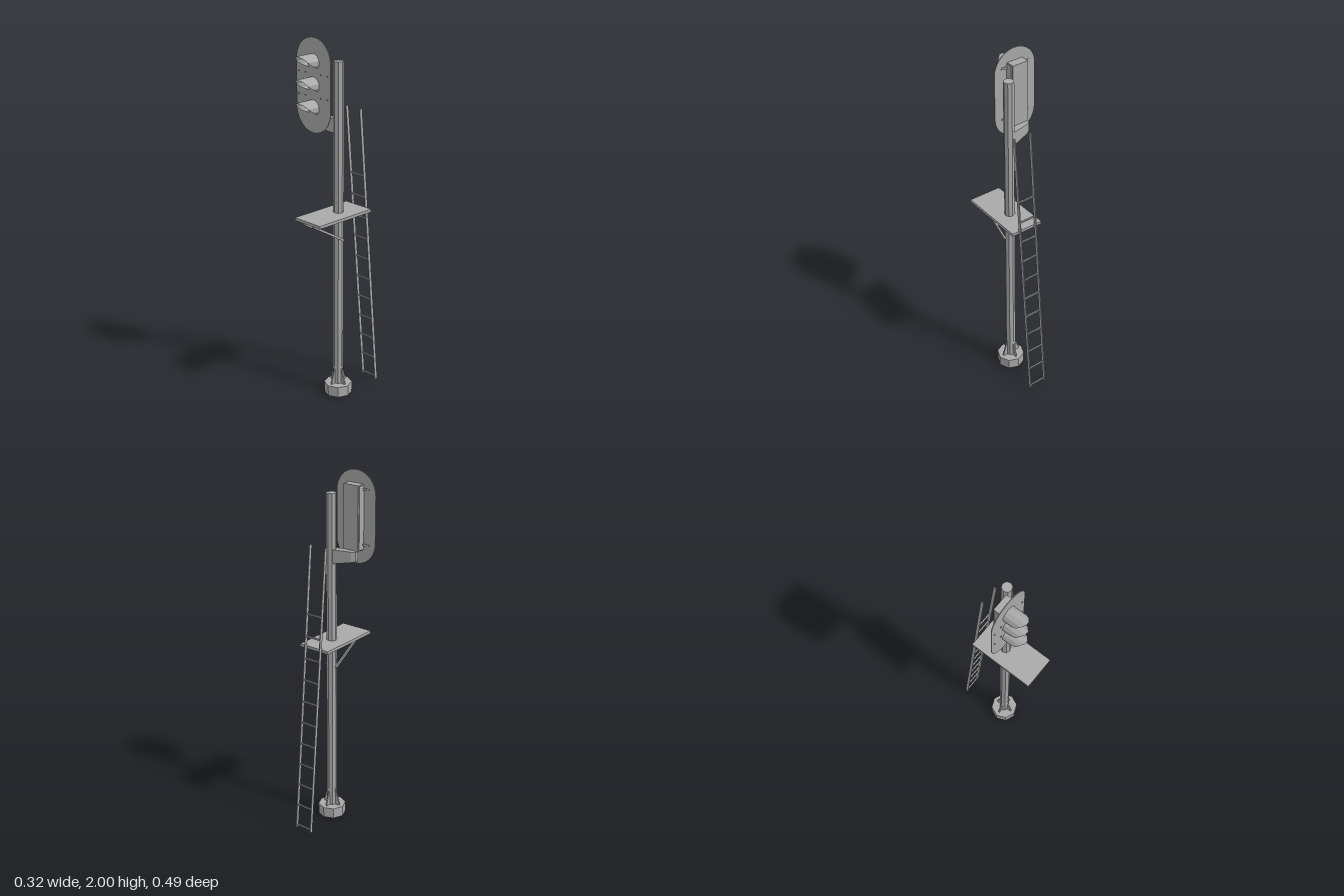
import * as THREE from 'three';

const grey = new THREE.MeshStandardMaterial({ color: 0xa8a8a8, flatShading: true, side: THREE.DoubleSide });
grey.name = 'galvanised grey';

const POLE_X = 0.063, POLE_Z = 0.019, HEAD_X = -0.035;

function add(parent, name, geometry, x = 0, y = 0, z = 0) {
  const mesh = new THREE.Mesh(geometry, grey);
  mesh.name = name;
  mesh.position.set(x, y, z);
  parent.add(mesh);
  return mesh;
}

// Rectangular bar running between two points
function bar(parent, name, a, b, width, depth) {
  const from = new THREE.Vector3(...a), to = new THREE.Vector3(...b);
  const dir = to.clone().sub(from);
  const mesh = add(parent, name, new THREE.BoxGeometry(width, dir.length(), depth));
  mesh.position.copy(from).add(to).multiplyScalar(0.5);
  mesh.quaternion.setFromUnitVectors(new THREE.Vector3(0, 1, 0), dir.normalize());
  return mesh;
}

function polygon(points) {
  return new THREE.Shape(points.map(([x, y]) => new THREE.Vector2(x, y)));
}

// Open visor: part of a twelve-sided tube, longest on top and cut away below
function visorGeometry() {
  const r = 0.0435;
  const lengths = [0, 0.045, 0.077, 0.095, 0.112, 0.112, 0.095, 0.077, 0.045, 0];
  const pos = [], index = [];
  lengths.forEach((len, i) => {
    const a = THREE.MathUtils.degToRad(-135 + 30 * i);
    const x = r * Math.sin(a), y = r * Math.cos(a);
    pos.push(x, y, 0, x, y, len);
    if (i > 0) {
      const k = 2 * i;
      index.push(k - 2, k - 1, k, k, k - 1, k + 1);
    }
  });
  const g = new THREE.BufferGeometry();
  g.setAttribute('position', new THREE.Float32BufferAttribute(pos, 3));
  g.setIndex(index);
  g.computeVertexNormals();
  return g;
}

function createMast() {
  const mast = new THREE.Group();
  mast.name = 'mast';
  mast.position.set(POLE_X, 0, POLE_Z);
  add(mast, 'pole', new THREE.CylinderGeometry(0.028, 0.028, 1.85, 8), 0, 0.955, 0);
  add(mast, 'base', new THREE.CylinderGeometry(0.077, 0.077, 0.06, 8), 0, 0.03, 0);
  // Four triangular fins bracing the foot
  const fin = polygon([[0, 0.06], [0.053, 0.06], [0.053, 0.068], [0.027, 0.16], [0, 0.16]]);
  for (let i = 0; i < 4; i++) {
    const g = new THREE.ExtrudeGeometry(fin, { depth: 0.008, bevelEnabled: false });
    g.translate(0, 0, -0.004);
    add(mast, 'gusset', g).rotation.y = i * Math.PI / 2;
  }
  return mast;
}

function createPlatform() {
  const platform = new THREE.Group();
  platform.name = 'platform';
  add(platform, 'deck', new THREE.BoxGeometry(0.188, 0.016, 0.38), POLE_X, 1.062, 0.056);
  for (const side of [-1, 1]) {
    const x = POLE_X + side * 0.034;
    bar(platform, 'brace', [x, 1.05, 0.238], [x, 0.915, 0.012], 0.009, 0.012);
  }
  return platform;
}

function createLadder() {
  const ladder = new THREE.Group();
  ladder.name = 'ladder';
  const bottom = -0.236, top = -0.092, height = 1.62;
  for (const side of [-1, 1]) {
    const x = POLE_X + side * 0.05;
    bar(ladder, 'rail', [x, 0.001, bottom], [x, height, top], 0.005, 0.018);
  }
  for (let i = 0; i < 11; i++) {
    const y = 0.018 + i * 0.123;
    const z = bottom + (top - bottom) * y / height;
    add(ladder, 'rung', new THREE.BoxGeometry(0.1, 0.008, 0.008), POLE_X, y, z);
  }
  return ladder;
}

function createHead() {
  const head = new THREE.Group();
  head.name = 'signalHead';

  // Stadium-shaped backing plate
  const r = 0.125, half = 0.125;
  const outline = new THREE.Shape();
  outline.absarc(0, half, r, 0, Math.PI, false);
  outline.absarc(0, -half, r, Math.PI, 2 * Math.PI, false);
  add(head, 'backPlate', new THREE.ExtrudeGeometry(outline, { depth: 0.004, bevelEnabled: false, curveSegments: 10 }), HEAD_X, 1.75, 0.1);

  // Housing behind the plate with its wider front rim
  add(head, 'housing', new THREE.BoxGeometry(0.093, 0.35, 0.048), HEAD_X, 1.755, 0.077);
  for (const side of [-1, 1]) {
    add(head, 'housingRim', new THREE.BoxGeometry(0.006, 0.34, 0.038), HEAD_X + side * 0.048, 1.755, 0.081);
    // Small wedge brackets holding the plate
    for (const y of [1.61, 1.905]) {
      const wedge = polygon([[0, 0], [side * 0.036, 0], [side * 0.036, 0.003], [0, 0.011]]);
      const g = new THREE.ExtrudeGeometry(wedge, { depth: 0.01, bevelEnabled: false });
      g.rotateX(-Math.PI / 2);
      add(head, 'plateBracket', g, HEAD_X + side * 0.049, y - 0.005, 0.1);
    }
  }

  // Three visors
  for (let i = 0; i < 3; i++) {
    add(head, 'visor', visorGeometry(), HEAD_X, 1.873 - i * 0.12, 0.103);
  }

  // Plate bolts in rows between the visors
  for (const y of [1.813, 1.693]) {
    for (const dx of [-0.105, -0.057, 0.057, 0.105]) {
      const g = new THREE.CylinderGeometry(0.004, 0.004, 0.006, 6);
      g.rotateX(Math.PI / 2);
      add(head, 'bolt', g, HEAD_X + dx, y, 0.106);
    }
  }
  return head;
}

// Arm from the pole to the underside of the housing, deeper toward the pole
function createArm() {
  const plan = polygon([[-0.083, 0.054], [0.012, 0.054], [0.063, 0.041], [0.063, -0.004], [0.046, 0.002], [-0.061, 0.027], [-0.08, 0.04]]
    .map(([x, z]) => [x, -z]));
  const g = new THREE.ExtrudeGeometry(plan, { depth: 0.07, bevelEnabled: false });
  g.rotateX(-Math.PI / 2);
  const p = g.attributes.position;
  for (let i = 0; i < p.count; i++) {
    const slope = THREE.MathUtils.clamp((p.getX(i) + 0.083) / 0.13, 0, 1);
    p.setY(i, p.getY(i) > 0.01 ? 1.582 : 1.53 - 0.027 * slope);
  }
  g.computeVertexNormals();
  const arm = new THREE.Group();
  arm.name = 'arm';
  add(arm, 'supportArm', g);
  return arm;
}

export function createModel() {
  const model = new THREE.Group();
  model.name = 'railwaySignal';
  model.add(createMast(), createPlatform(), createLadder(), createHead(), createArm());
  return model;
}
